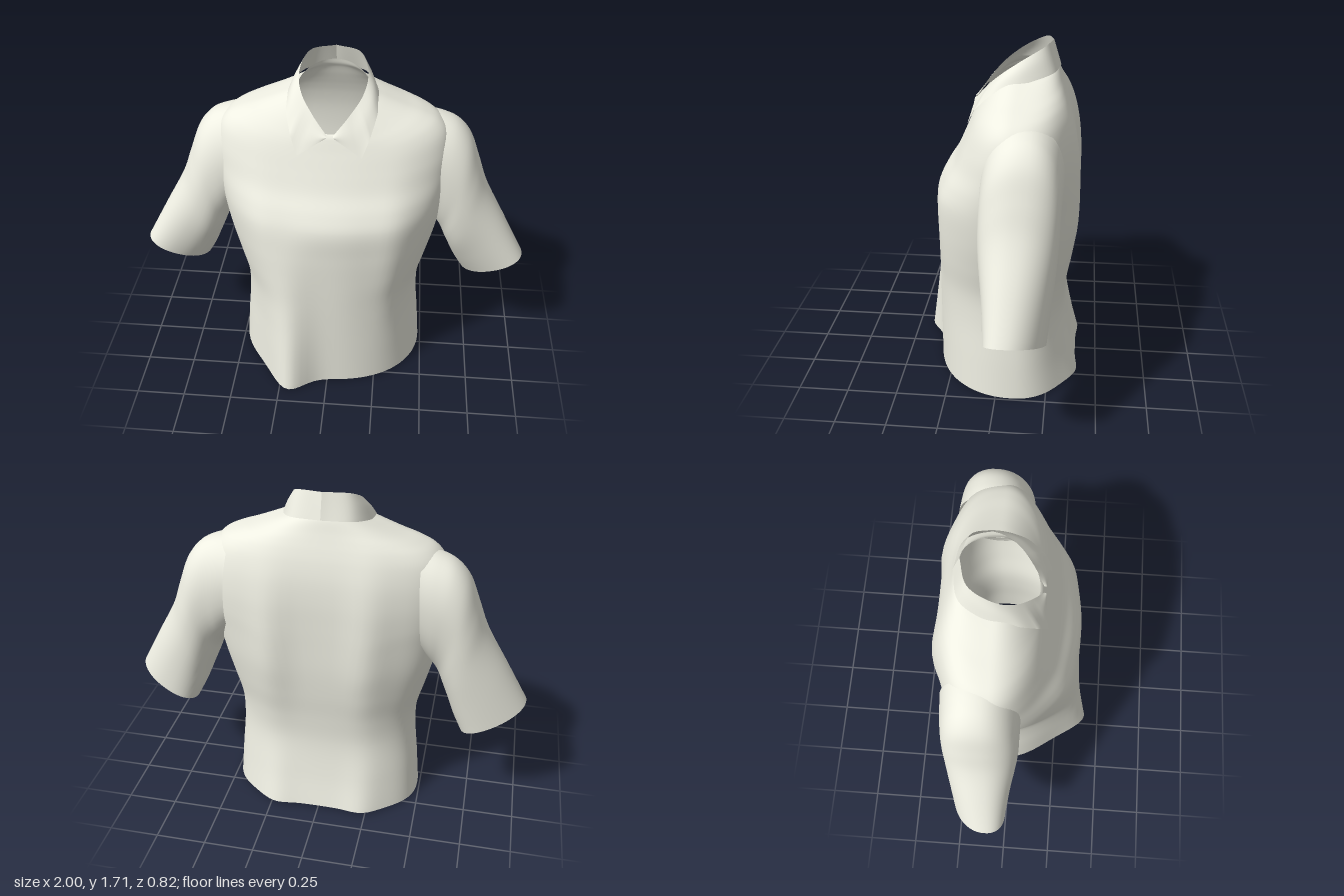
import * as THREE from 'three';

const V = (x, y, z) => new THREE.Vector3(x, y, z);
const cloth = new THREE.MeshStandardMaterial({ color: 0xeeeee2, side: THREE.DoubleSide });

// Smooth skin through a list of rings, each an array of points; faces starting at a cut point are left out
function loft(name, rings, closed, steps, cut = () => false) {
  const n = rings[0].length;
  const columns = rings[0].map((_, j) => new THREE.CatmullRomCurve3(rings.map(r => r[j]), false, 'centripetal'));
  const pts = [], index = [];
  for (let i = 0; i <= steps; i++)
    for (const c of columns) pts.push(c.getPoint(i / steps));
  for (let i = 0; i < steps; i++)
    for (let j = 0; j < (closed ? n : n - 1); j++) {
      const k = (j + 1) % n, a = i * n + j, b = i * n + k;
      if (!cut(pts[a])) index.push(a, a + n, b, b, a + n, b + n);
    }
  const g = new THREE.BufferGeometry().setFromPoints(pts);
  g.setIndex(index);
  g.computeVertexNormals();
  const mesh = new THREE.Mesh(g, cloth);
  mesh.name = name;
  return mesh;
}

const bump = (x, c, w) => Math.exp(-(((x - c) / w) ** 2));
const spow = (v, p) => Math.sign(v) * Math.abs(v) ** p;

// Body rings: half width, y at side / front / back, z at front / back, squareness of the back
const BODY = [
  [.488, .015, .02, .03, .33, -.39, 2.3],
  [.473, .2, .2, .2, .33, -.355, 2.3],
  [.455, .4, .4, .4, .33, -.33, 2.3],
  [.458, .55, .55, .55, .33, -.335, 2.35],
  [.495, .7, .7, .7, .33, -.35, 2.4],
  [.532, .85, .85, .85, .33, -.36, 2.5],
  [.558, 1.0, 1.0, 1.0, .325, -.362, 2.6],
  [.572, 1.1, 1.08, 1.1, .29, -.362, 2.7],
  [.58, 1.2, 1.165, 1.22, .236, -.36, 2.7],
  [.577, 1.3, 1.25, 1.33, .197, -.35, 2.6],
  [.55, 1.39, 1.32, 1.415, .167, -.332, 2.5],
  [.505, 1.44, 1.355, 1.468, .152, -.315, 2.4],
  [.44, 1.473, 1.38, 1.507, .142, -.3, 2.3],
  [.35, 1.505, 1.4, 1.545, .134, -.285, 2.2],
  [.25, 1.545, 1.418, 1.59, .126, -.268, 2.1],
  [.19, 1.572, 1.428, 1.615, .118, -.255, 2.1],
  [.168, 1.595, 1.432, 1.64, .113, -.249, 2.1],
];

function bodyRing([w, yS, yF, yB, zF, zB, square]) {
  const ring = [], N = 96, zc = -.08;
  for (let j = 0; j < N; j++) {
    const t = -j / N * Math.PI * 2;
    const front = Math.sin(t) > 0, e = 2 / (front ? 2.1 : square);
    const x = w * spow(Math.cos(t), e), f = Math.abs(Math.sin(t)) ** e, ax = Math.abs(x);
    const y = yS + ((front ? yF : yB) - yS) * f * f;
    let z = zc + f * ((front ? zF : zB) - zc);
    // Draped folds: one flare at the front hem, fuller chest corners, shoulder blades behind
    const low = Math.max(0, 1 - yS);
    if (front) z += f * (.14 * low * bump(x, -.22, .12) + .03 * bump(yS, .75, .45) * bump(ax, .34, .1));
    else z -= f * .036 * (bump(yS, .95, .4) + bump(yS, 0, .3)) * bump(ax, .24, .1);
    ring.push(V(x, y, z));
  }
  return ring;
}

// Openings in the body behind the sleeves
const armhole = p => Math.abs(p.x) > .48 && ((p.y - 1.13) / .22) ** 2 + ((p.z + .12) / .13) ** 2 < 1;

// Sleeve rings: outer x, y, inner x, y, z centre, z half depth, forward lean of the outer edge
const SLEEVE = [
  [.45, 1.445, .48, .92, -.125, .188, -.02],
  [.53, 1.428, .515, .875, -.125, .186, -.02],
  [.605, 1.395, .54, .835, -.123, .184, -.03],
  [.67, 1.325, .556, .805, -.122, .182, -.03],
  [.725, 1.19, .58, .745, -.121, .18, -.02],
  [.777, 1.05, .607, .68, -.121, .172, 0],
  [.89, .845, .645, .585, -.124, .15, .04],
  [1.0, .645, .69, .495, -.126, .128, .08],
];

function sleeveRing([ox, oy, ix, iy, zc, d, lean], side) {
  const ring = [], N = 48;
  for (let j = 0; j < N; j++) {
    const t = j / N * Math.PI * 2 * side;
    const k = (1 + spow(Math.cos(t), .92)) / 2;
    ring.push(V(side * (ix + (ox - ix) * k), iy + (oy - iy) * k, zc + d * spow(Math.sin(t), .92) + lean * (k - .5)));
  }
  return ring;
}

// Collar edges for one half, from the front opening to the centre back
const RIM = [[.015, 1.435, .13], [.085, 1.51, .075], [.145, 1.585, 0], [.162, 1.65, -.09], [.12, 1.708, -.195], [0, 1.72, -.235]];
const FALL = [[.185, 1.42, .125], [.215, 1.51, .03], [.217, 1.552, -.09], [.145, 1.59, -.235], [0, 1.6, -.272]];

function collarHalf(side) {
  const curve = pts => new THREE.CatmullRomCurve3(pts.map(p => V(side * p[0], p[1], p[2])));
  const rim = curve(RIM), fall = curve(FALL);
  const tip = V(side * .152, 1.34, .163), rims = [], mids = [], falls = [];
  const N = 40;
  for (let i = 0; i <= N; i++) {
    const u = i / N;
    const a = rim.getPoint(u);
    // Lower edge: straight to the pointed tip, then round to the back
    const b = u < .2 ? V(side * .02, 1.425, .14).lerp(tip, u / .2)
      : u < .3 ? tip.clone().lerp(fall.getPoint(0), (u - .2) / .1)
        : fall.getPoint((u - .3) / .7);
    const m = a.clone().lerp(b, .45);
    m.x += side * .006 * Math.sin(u * Math.PI);
    m.z += .008 * (1 - u);
    rims.push(a); mids.push(m); falls.push(b);
  }
  const rows = side > 0 ? [rims, mids, falls] : [falls, mids, rims];
  return loft(side > 0 ? 'leftCollar' : 'rightCollar', rows, false, 8);
}

export function createModel() {
  const shirt = new THREE.Group();
  shirt.name = 'shirt';
  // Rings run hem to neck, so reverse them for outward faces
  shirt.add(loft('body', BODY.map(bodyRing).reverse(), true, 96, armhole));
  for (const side of [1, -1]) {
    shirt.add(loft(side > 0 ? 'leftSleeve' : 'rightSleeve', SLEEVE.map(r => sleeveRing(r, side)).reverse(), true, 40));
    shirt.add(collarHalf(side));
  }
  return shirt;
}
